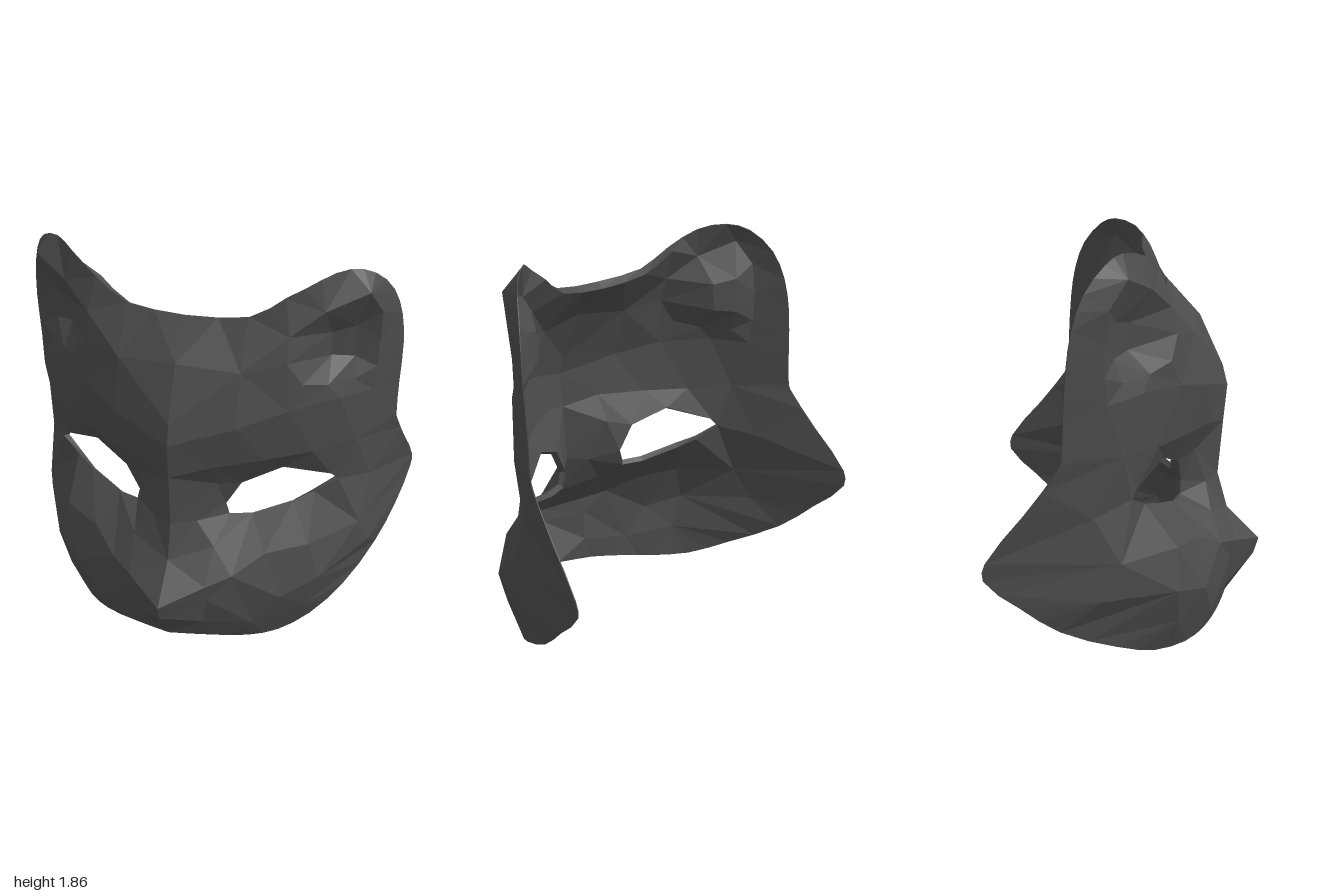
import * as THREE from 'three';

const THICKNESS = 0.03;
const FOREHEAD_EDGE = 0.045;
const OUTER_EDGE = 0.004;

// Half of the mask (x >= 0), as [x, y, z] feature lines
const outlinePath = [ // from top centre, over the ear, down the cheek to the chin
  [0, 1.65, 0.178], [0.29, 1.67, 0.16], [0.45, 1.76, 0.12], [0.59, 1.84, 0.05], [0.7, 1.865, -0.05],
  [0.8, 1.83, -0.125], [0.88, 1.72, -0.215], [0.92, 1.58, -0.265], [0.935, 1.42, -0.29], [0.93, 1.2, -0.305],
  [0.93, 1.02, -0.315], [0.934, 0.98, -0.335], [0.965, 0.8, -0.475], [0.998, 0.6, -0.64], [0.993, 0.52, -0.65],
  [0.95, 0.375, -0.5], [0.88, 0.23, -0.33], [0.76, 0.1, -0.08], [0.63, 0.02, 0.1], [0.5, 0.002, 0.25],
  [0.37, 0.015, 0.35], [0.2, 0.04, 0.43], [0, 0.055, 0.49],
];
const eyeRim = [
  [0.715, 0.785, -0.01], [0.68, 0.82, 0.01], [0.47, 0.9, 0.14], [0.29, 0.83, 0.225], [0.22, 0.71, 0.24],
  [0.235, 0.65, 0.235], [0.34, 0.65, 0.2], [0.52, 0.7, 0.11], [0.61, 0.73, 0.05],
];
const centreLine = [ // forehead, bridge, nose tip
  [0, 1.48, 0.34], [0, 1.23, 0.455], [0, 1.13, 0.48], [0, 0.95, 0.463], [0, 0.68, 0.44], [0, 0.5, 0.49],
  [0, 0.33, 0.655], [0, 0.25, 0.63],
];
const earRim = [
  [0.48, 1.6, 0.17], [0.62, 1.7, 0.08], [0.8, 1.77, -0.03], [0.85, 1.65, -0.11], [0.845, 1.5, -0.13],
  [0.84, 1.36, -0.13], [0.75, 1.32, -0.05], [0.65, 1.335, 0.07], [0.55, 1.37, 0.17], [0.48, 1.48, 0.2],
];
const earFloor = [[0.64, 1.56, -0.02], [0.64, 1.44, -0.03], [0.74, 1.58, -0.08], [0.74, 1.42, -0.09]];
const brow = [
  [0.29, 1.45, 0.29], [0.29, 1.2, 0.36], [0.5, 1.25, 0.22], [0.7, 1.26, 0.04], [0.83, 1.24, -0.12],
  [0.78, 1.0, -0.05], [0.6, 0.99, 0.11], [0.4, 0.99, 0.25], [0.19, 0.99, 0.38],
  [0.19, 0.86, 0.31], [0.11, 0.67, 0.37],
];
const cheek = [
  [0.84, 0.74, -0.18], [0.82, 0.52, -0.06], [0.86, 0.36, -0.15], [0.68, 0.33, 0.2], [0.62, 0.52, 0.2],
  [0.43, 0.5, 0.31], [0.2, 0.55, 0.39], [0.52, 0.28, 0.34], [0.3, 0.42, 0.43], [0.19, 0.39, 0.51],
  [0.19, 0.3, 0.49], [0.4, 0.12, 0.38], [0.62, 0.16, 0.21], [0.17, 0.15, 0.47],
];

// Rounds the outline by adding a point between each given pair
const outline = new THREE.CatmullRomCurve3(outlinePath.map((p) => new THREE.Vector3(...p)))
  .getPoints((outlinePath.length - 1) * 2)
  .map((v) => v.toArray().map((c) => Math.round(c * 1000) / 1000));

const cross = (a, b, c) => (b[0] - a[0]) * (c[1] - a[1]) - (b[1] - a[1]) * (c[0] - a[0]);

function inside(x, y, poly) {
  let hit = false;
  poly.forEach((p, i) => {
    const q = poly[(i + 1) % poly.length];
    if ((p[1] > y) !== (q[1] > y) && x < p[0] + (q[0] - p[0]) * (y - p[1]) / (q[1] - p[1])) hit = !hit;
  });
  return hit;
}

function inCircle(p, a, b, c) {
  const [ax, ay, bx, by, cx, cy] = [a, b, c].flatMap((v) => [v[0] - p[0], v[1] - p[1]]);
  return (ax * ax + ay * ay) * (bx * cy - cx * by) - (bx * bx + by * by) * (ax * cy - cx * ay)
    + (cx * cx + cy * cy) * (ax * by - bx * ay) > 1e-9;
}

// Directed edges that have no opposite partner, i.e. the border of a patch
function borderEdges(tris) {
  const edges = new Map();
  for (const t of tris) for (let k = 0; k < 3; k++) {
    const a = t[k], b = t[(k + 1) % 3];
    if (!edges.delete(b + ',' + a)) edges.set(a + ',' + b, [a, b]);
  }
  return [...edges.values()];
}

// Delaunay triangulation in the front plane
function triangulate(points) {
  const n = points.length;
  const all = [...points, [-500, -500], [500, -500], [0, 800]];
  let tris = [[n, n + 1, n + 2]];
  for (let i = 0; i < n; i++) {
    const bad = new Set(tris.filter((t) => inCircle(all[i], ...t.map((k) => all[k]))));
    const rim = borderEdges(bad);
    tris = tris.filter((t) => !bad.has(t));
    for (const [a, b] of rim) tris.push([a, b, i]);
  }
  return tris.filter((t) => t.every((k) => k < n) && cross(...t.map((k) => all[k])) > 1e-6);
}

function maskGeometry() {
  const half = [...outline, ...eyeRim, ...centreLine, ...earRim, ...earFloor, ...brow, ...cheek];
  const halfTris = triangulate(half).filter((t) => {
    const x = t.reduce((s, k) => s + half[k][0], 0) / 3;
    const y = t.reduce((s, k) => s + half[k][1], 0) / 3;
    return inside(x, y, outline) && !inside(x, y, eyeRim);
  });

  // Mirror the half, sharing the centre line
  const points = [...half];
  const twin = half.map((p, i) => (p[0] === 0 ? i : points.push([-p[0], p[1], p[2]]) - 1));
  const tris = [...halfTris, ...halfTris.map(([a, b, c]) => [twin[a], twin[c], twin[b]])];

  // The shell thins out at its outer edge, but is thicker along the forehead
  const depth = points.map(() => THICKNESS);
  outline.forEach((p, i) => {
    depth[i] = depth[twin[i]] = p[1] > 1.6 && p[0] < 0.5 ? FOREHEAD_EDGE : OUTER_EDGE;
  });

  // Back skin: every point pushed in along its averaged normal
  const front = new THREE.BufferGeometry();
  front.setAttribute('position', new THREE.Float32BufferAttribute(points.flat(), 3));
  front.setIndex(tris.flat());
  front.computeVertexNormals();
  const normal = front.getAttribute('normal');
  const n = points.length;
  const back = points.map((p, i) => [
    p[0] - normal.getX(i) * depth[i], p[1] - normal.getY(i) * depth[i], p[2] - normal.getZ(i) * depth[i],
  ]);

  const index = tris.flat();
  for (const [a, b, c] of tris) index.push(a + n, c + n, b + n);
  // Walls around the outer edge and the eye openings
  for (const [a, b] of borderEdges(tris)) index.push(b, a, a + n, b, a + n, b + n);

  const shell = new THREE.BufferGeometry();
  shell.setAttribute('position', new THREE.Float32BufferAttribute([...points, ...back].flat(), 3));
  shell.setIndex(index);
  const flat = shell.toNonIndexed();
  flat.computeVertexNormals();
  return flat;
}

export function createModel() {
  const group = new THREE.Group();
  group.name = 'catMask';
  const material = new THREE.MeshStandardMaterial({ color: 0x4c4c4c, flatShading: true, side: THREE.DoubleSide });
  const mask = new THREE.Mesh(maskGeometry(), material);
  mask.name = 'maskShell';
  group.add(mask);
  return group;
}
